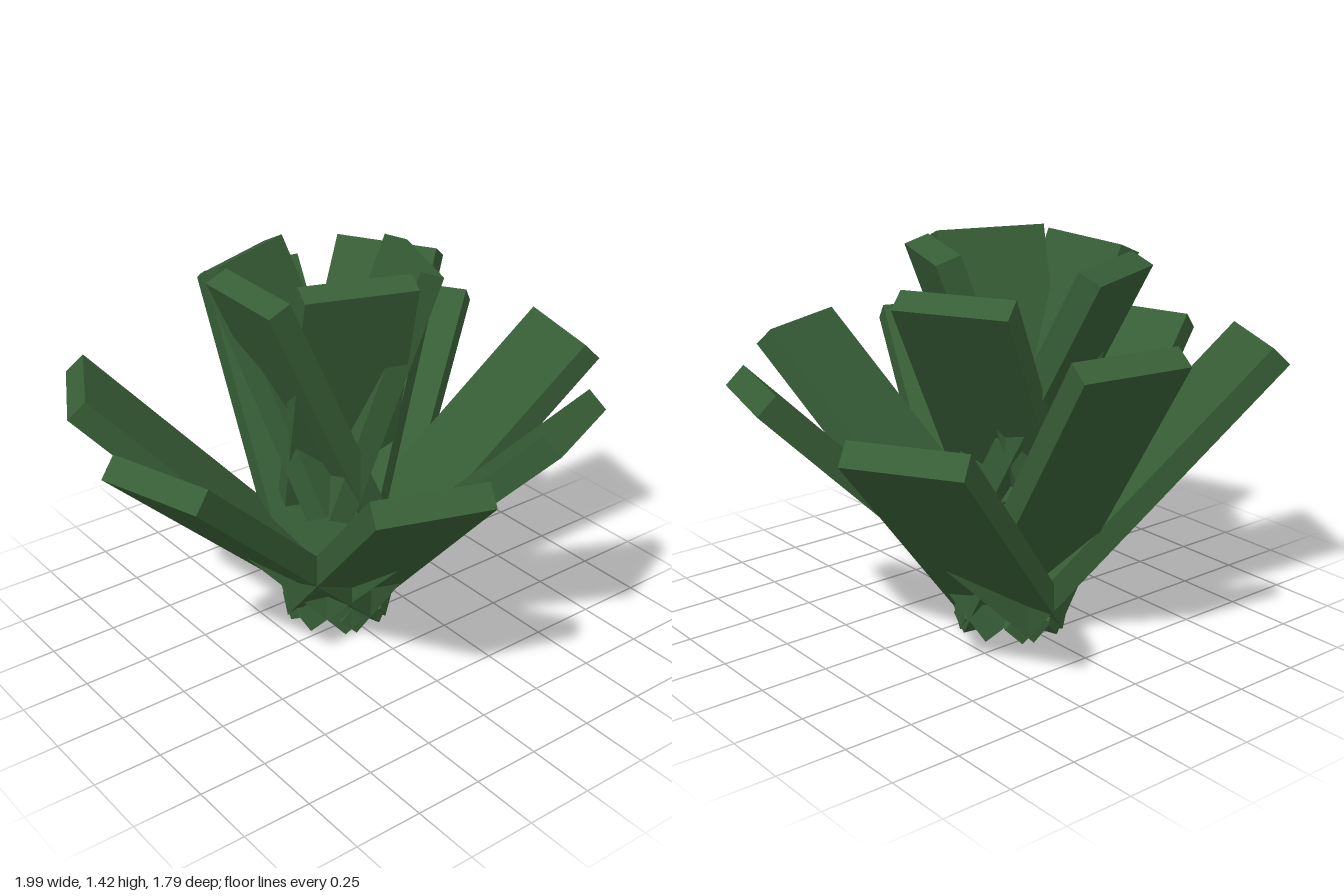
import * as THREE from 'three';

const leafGreen = new THREE.MeshStandardMaterial({ color: 0x375e36 });
leafGreen.name = 'leafGreen';

const rad = THREE.MathUtils.degToRad;

// One flat slab whose outer bottom edge sits on the origin, leaning outwards
function makeLeaf(name, length, heading, tilt) {
  const geometry = new THREE.BoxGeometry(0.396, length, 0.09);
  geometry.translate(0, length / 2, -0.045);
  geometry.rotateX(rad(tilt));
  geometry.rotateY(rad(90 - heading));
  const leaf = new THREE.Mesh(geometry, leafGreen);
  leaf.name = name;
  return leaf;
}

// Ring of leaves sharing one root; each entry is [heading from +x towards +z, tilt]
function makeRing(name, leafName, length, height, leaves) {
  const ring = new THREE.Group();
  ring.name = name;
  ring.position.set(0.01, height, -0.105);
  leaves.forEach(([heading, tilt], i) => {
    ring.add(makeLeaf(leafName + (i + 1), length, heading, tilt));
  });
  return ring;
}

export function createModel() {
  const plant = new THREE.Group();
  plant.name = 'leafyPlant';

  // Wide outer leaves
  plant.add(makeRing('outerLeaves', 'outerLeaf', 1.362, 0, [
    [15.3, 45], [66.7, 43.8], [109, 46.7], [163.3, 46.7],
    [207.6, 44], [279.2, 34.2], [328.2, 48],
  ]));

  // Steeper inner leaves, rooted higher up
  plant.add(makeRing('innerLeaves', 'innerLeaf', 0.968, 0.475, [
    [109.8, 18.4], [182, 24.4], [249.2, 26.7], [330.8, 34.3], [21, 19.7],
  ]));

  return plant;
}
